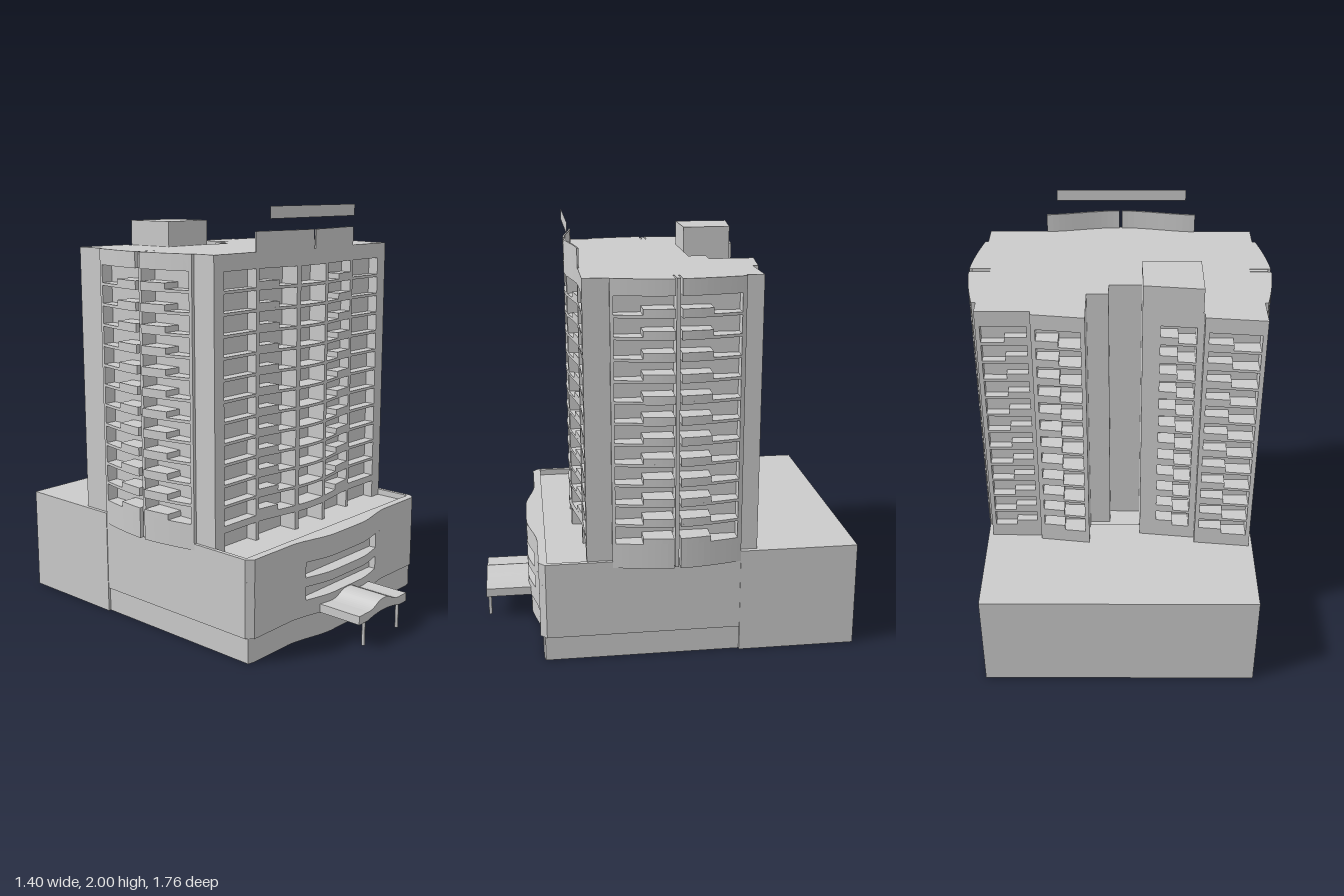
import * as THREE from 'three';
import { mergeGeometries } from 'three/addons/utils/BufferGeometryUtils.js';

const material = new THREE.MeshStandardMaterial({ color: 0xcccccc, side: THREE.DoubleSide });
const BASE = 0.46, TOP = 1.8;
const FLOORS = 12, STEP = 0.0965, SILL = 0.581, OPENING = 0.083;

// Upright prism over a plan outline of [x, z] points
function prism(points, y0, y1) {
  const shape = new THREE.Shape(points.map(([x, z]) => new THREE.Vector2(x, -z)));
  const g = new THREE.ExtrudeGeometry(shape, { depth: y1 - y0, bevelEnabled: false });
  return g.rotateX(-Math.PI / 2).translate(0, y0, 0);
}

function box(x0, x1, y0, y1, z0, z1) {
  return new THREE.BoxGeometry(x1 - x0, y1 - y0, z1 - z0)
    .translate((x0 + x1) / 2, (y0 + y1) / 2, (z0 + z1) / 2);
}

function addPart(group, name, geometries) {
  const mesh = new THREE.Mesh(mergeGeometries(geometries.map((g) => g.toNonIndexed())), material);
  mesh.name = name;
  group.add(mesh);
  return mesh;
}

// Wall between a curved face and a flat back; 'side' is 0 for z = f(x), or +1 / -1 for x = side * f(z)
function wall({ f, back, side = 0 }, a, b, y0, y1) {
  const n = Math.max(2, Math.ceil((b - a) / 0.03));
  const at = (u, v) => (side ? [side * v, u] : [u, v]);
  const points = [];
  for (let i = 0; i <= n; i++) {
    const u = a + ((b - a) * i) / n;
    points.push(at(u, f(u)));
  }
  points.push(at(b, back), at(a, back));
  return prism(points, y0, y1);
}

// Wall with columns of balcony openings; each bay is [start, end, raisedStart, raisedEnd]
function facade(curve, a, b, bays, openGround = false) {
  const parts = [];
  let edge = a;
  for (const [u0, u1, r0, r1] of bays) {
    if (u0 - edge > 0.002) parts.push(wall(curve, edge, u0, BASE, TOP));
    edge = u1;
    const bottom = openGround ? SILL - 0.033 : BASE;
    parts.push(wall(curve, u0, u1, bottom, SILL));
    for (let i = 0; i < FLOORS; i++) {
      const sill = SILL + i * STEP, head = sill + OPENING;
      parts.push(wall(curve, u0, u1, head, i === FLOORS - 1 ? TOP : sill + STEP));
      if (r0 !== undefined) parts.push(wall(curve, r0, r1, sill, sill + 0.027));
    }
  }
  if (b - edge > 0.002) parts.push(wall(curve, edge, b, BASE, TOP));
  return parts;
}

// Soft bulge: 1 in the middle, 0 beyond the half width
const bulge = (u, half) => (Math.abs(u) < half ? 0.5 + 0.5 * Math.cos((Math.PI * u) / half) : 0);
const swell = (u) => 1 - THREE.MathUtils.smoothstep(Math.abs(u), 0.1, 0.38);
const line = (u0, v0, u1, v1) => (u) => v0 + ((v1 - v0) * (u - u0)) / (u1 - u0);

function buildTower() {
  const tower = new THREE.Group();
  tower.name = 'tower';

  addPart(tower, 'towerCore', [prism([
    [-0.64, 0.345], [0.64, 0.345], [0.64, 0.28], [0.6, 0.28], [0.6, -0.32], [0.635, -0.32],
    [0.635, -0.36], [0.15, -0.36], [0.15, -0.24], [0.05, -0.24], [0.05, -0.155], [-0.1, -0.155],
    [-0.1, -0.32], [-0.37, -0.32], [-0.37, -0.4], [-0.64, -0.4], [-0.64, -0.32], [-0.6, -0.32],
    [-0.6, 0.28], [-0.64, 0.28],
  ], BASE, TOP)]);

  // Front with five bays
  const frontFace = (x) => 0.398 + 0.047 * bulge(x, 0.4);
  addPart(tower, 'frontFacade', facade({ f: frontFace, back: 0.345 }, -0.64, 0.64, [
    [-0.578, -0.365], [-0.345, -0.12, -0.345, -0.225], [-0.095, 0.09],
    [0.115, 0.34, 0.225, 0.34], [0.36, 0.575],
  ], true));

  // Bowed sides, split by a thin fin
  const sideFace = (z) => 0.7 - 0.045 * Math.pow(Math.abs(z + 0.02) / 0.3, 1.6);
  for (const side of [-1, 1]) {
    const curve = { f: sideFace, back: 0.6, side };
    addPart(tower, side > 0 ? 'leftFacade' : 'rightFacade', [
      ...facade(curve, -0.32, -0.03, [[-0.3, -0.03, -0.17, -0.03]]),
      ...facade(curve, 0, 0.28, [[0, 0.265, 0, 0.14]]),
    ]);
    addPart(tower, 'sideFin', [
      box(Math.min(side * 0.6, side * 0.685), Math.max(side * 0.6, side * 0.685), BASE, TOP, -0.024, -0.006),
    ]);
  }

  // Stepped back wings
  addPart(tower, 'backFacade', [
    ...facade({ f: line(0.15, -0.455, 0.39, -0.425), back: -0.36 }, 0.15, 0.39, [[0.17, 0.37, 0.27, 0.37]]),
    ...facade({ f: () => -0.4, back: -0.35 }, 0.39, 0.635, [[0.41, 0.615, 0.41, 0.51]]),
    ...facade({ f: line(-0.37, -0.415, -0.1, -0.385), back: -0.32 }, -0.37, -0.1, [[-0.34, -0.18, -0.26, -0.18]]),
    ...facade({ f: line(-0.64, -0.478, -0.37, -0.45), back: -0.4 }, -0.64, -0.37, [[-0.62, -0.39, -0.5, -0.39]]),
  ]);

  // Roof structures
  addPart(tower, 'penthouse', [
    prism([[-0.365, -0.155], [-0.1, -0.155], [-0.1, -0.385], [-0.365, -0.415]], TOP, 1.92),
  ]);
  for (const [a, b] of [[-0.365, -0.008], [0.004, 0.36]]) {
    const n = 12, pts = [];
    for (let i = 0; i <= n; i++) pts.push([a + ((b - a) * i) / n, frontFace(a + ((b - a) * i) / n)]);
    const inner = pts.map(([x, z]) => [x, z - 0.008]).reverse();
    addPart(tower, 'roofScreen', [prism([...pts, ...inner], TOP, 1.89)]);
  }
  const sign = new THREE.Mesh(new THREE.PlaneGeometry(0.63, 0.055), material);
  sign.name = 'roofBlade';
  sign.position.set(-0.005, 1.972, 0.44);
  tower.add(sign);
  return tower;
}

function buildPodium() {
  const podium = new THREE.Group();
  podium.name = 'podium';

  // Front wall with rounded corners, a swelling middle and two slots
  const face = (x) => {
    const over = Math.max(0, Math.abs(x) - 0.625);
    return 0.59 + Math.sqrt(Math.max(0, 0.0009 - over * over)) + 0.048 * swell(x);
  };
  const front = { f: face, back: 0.58 };
  const parts = [[0.12, 0.2], [0.265, 0.31], [0.385, 0.49]].map(([y0, y1]) => wall(front, -0.655, 0.655, y0, y1));
  for (const [y0, y1] of [[0.2, 0.265], [0.31, 0.385]]) {
    parts.push(wall(front, -0.655, -0.28, y0, y1), wall(front, 0.275, 0.655, y0, y1));
    parts.push(box(-0.28, 0.275, y0, y1, 0.58, 0.6));
  }
  addPart(podium, 'podiumFront', parts);

  // Recessed base course
  addPart(podium, 'baseCourse', [
    wall({ f: (x) => face(x) - 0.014, back: 0.57 }, -0.645, 0.645, 0, 0.12),
    box(0.625, 0.645, 0, 0.12, -0.32, 0.575),
    box(-0.645, -0.625, 0, 0.12, -0.32, 0.575),
  ]);

  addPart(podium, 'podiumSides', [
    box(0.635, 0.655, 0.12, 0.49, -0.32, 0.59),
    box(-0.655, -0.635, 0.12, 0.49, -0.32, 0.59),
  ]);
  addPart(podium, 'podiumRoof', [box(-0.64, 0.64, 0.44, BASE, -0.33, 0.59)]);

  // Rear block, open underneath
  addPart(podium, 'rearBlock', [
    box(-0.658, 0.658, 0.44, 0.51, -0.88, -0.32),
    box(-0.658, 0.658, 0, 0.44, -0.88, -0.86),
    box(0.638, 0.658, 0, 0.44, -0.86, -0.32),
    box(-0.658, -0.638, 0, 0.44, -0.86, -0.32),
  ]);
  return podium;
}

function buildCanopy() {
  const canopy = new THREE.Group();
  canopy.name = 'canopy';

  // Arched roof profile
  const s = new THREE.Shape();
  s.moveTo(-0.197, 0.12);
  s.lineTo(-0.197, 0.162);
  s.lineTo(-0.12, 0.162);
  s.bezierCurveTo(-0.06, 0.166, -0.06, 0.196, 0, 0.196);
  s.bezierCurveTo(0.06, 0.196, 0.06, 0.166, 0.12, 0.162);
  s.lineTo(0.19, 0.162);
  s.lineTo(0.19, 0.12);
  s.lineTo(0.13, 0.12);
  s.quadraticCurveTo(0, 0.155, -0.13, 0.12);
  const roof = new THREE.ExtrudeGeometry(s, { depth: 0.23, bevelEnabled: false, curveSegments: 10 });
  addPart(canopy, 'canopyRoof', [roof.translate(0, 0, 0.65)]);

  for (const x of [-0.14, 0.135]) {
    const post = new THREE.Mesh(new THREE.CylinderGeometry(0.008, 0.008, 0.125, 12), material);
    post.name = 'canopyPost';
    post.position.set(x, 0.0625, 0.865);
    canopy.add(post);
  }
  return canopy;
}

export function createModel() {
  const model = new THREE.Group();
  model.name = 'towerBlock';
  model.add(buildTower(), buildPodium(), buildCanopy());
  return model;
}
